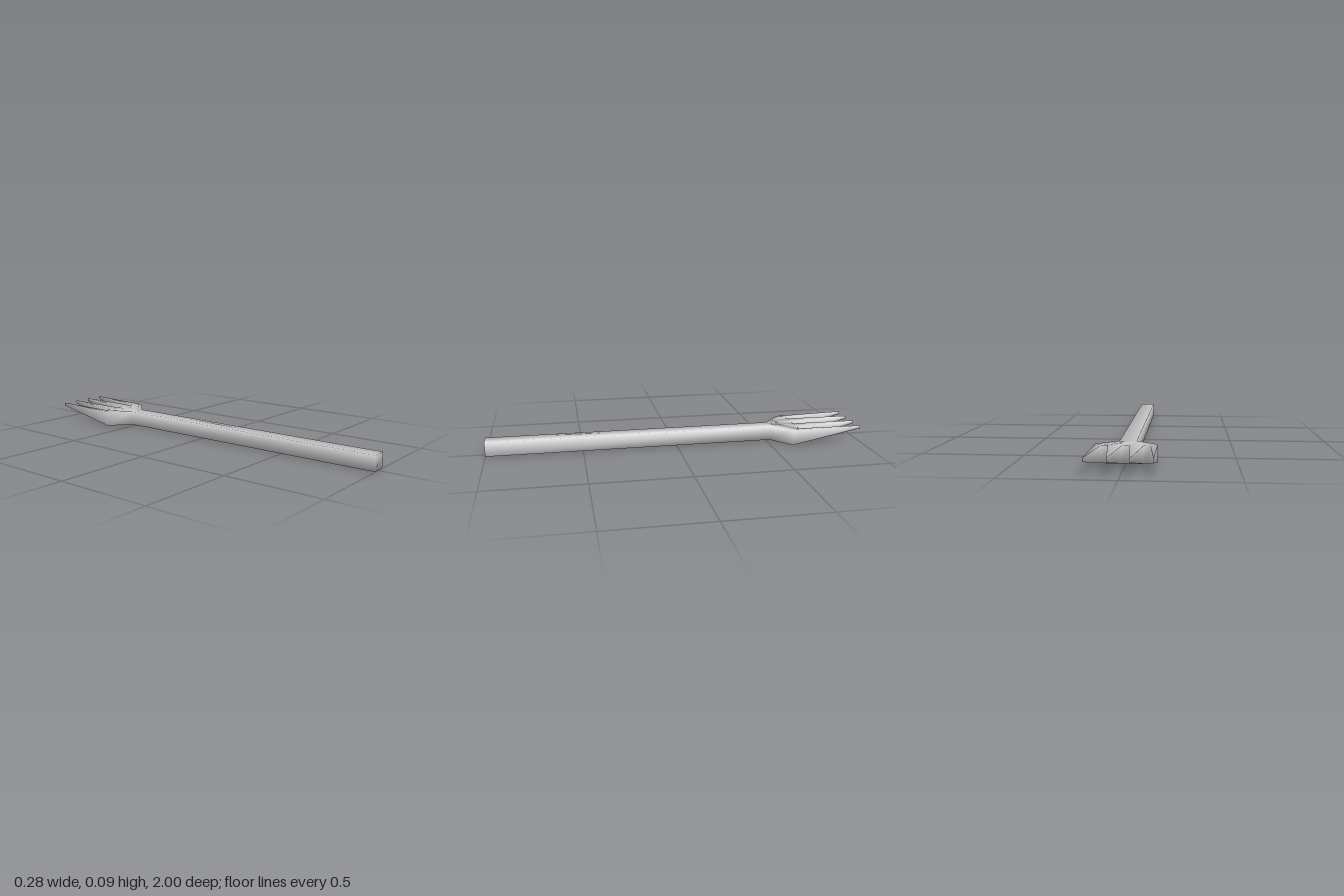
import * as THREE from 'three';

// Plan outline of the +x half: [x, z, bottom y, top y], from the handle end round to the middle gap
const half = [
  [0.04, 1, 0.003, 0.08],       // handle end
  [0.04, -0.52, 0.003, 0.08],   // neck
  [0.142, -0.62, 0, 0.082],     // shoulder
  [0.142, -1, 0.073, 0.09],     // outer tine tip
  [0.11, -0.66, 0, 0.082],      // outer gap
  [0.08, -0.66, 0, 0.082],
  [0.047, -1, 0.073, 0.09],     // inner tine tip
  [0.016, -0.66, 0, 0.082],     // middle gap
];
const outline = [...half, ...half.map(([x, ...rest]) => [-x, ...rest]).reverse()];
const n = outline.length;

// Each part is a loop of outline points, anticlockwise seen from above
const parts = {
  handle: [15, 0, 1, 14],
  head: [14, 1, 2, 4, 5, 7, 8, 10, 11, 13],
  outerTineLeft: [2, 3, 4],
  innerTineLeft: [5, 6, 7],
  innerTineRight: [8, 9, 10],
  outerTineRight: [11, 12, 13],
};

const edgesOf = (loop) => loop.map((a, i) => [a, loop[(i + 1) % loop.length]]);
const allEdges = new Set(Object.values(parts).flatMap(edgesOf).map(String));

// Top and bottom caps, plus walls on edges not shared with another part
function partFaces(loop) {
  const index = [];
  for (let i = 1; i < loop.length - 1; i++) {
    const [a, b, c] = [loop[0], loop[i], loop[i + 1]];
    index.push(a + n, b + n, c + n, a, c, b);
  }
  for (const [a, b] of edgesOf(loop)) {
    if (!allEdges.has(`${b},${a}`)) index.push(a, b, b + n, a, b + n, a + n);
  }
  return index;
}

export function createModel() {
  const group = new THREE.Group();
  group.name = 'fork';
  const material = new THREE.MeshStandardMaterial({ color: 0xcccccc });

  // Whole surface first, so that smooth normals run across the joints
  const whole = new THREE.BufferGeometry();
  const bottom = outline.flatMap(([x, z, y]) => [x, y, z]);
  const top = outline.flatMap(([x, z, , y]) => [x, y, z]);
  whole.setAttribute('position', new THREE.Float32BufferAttribute([...bottom, ...top], 3));
  whole.setIndex(Object.values(parts).flatMap(partFaces));
  whole.computeVertexNormals();

  // Split into named parts
  for (const [name, loop] of Object.entries(parts)) {
    const geometry = whole.clone();
    geometry.setIndex(partFaces(loop));
    const mesh = new THREE.Mesh(geometry.toNonIndexed(), material);
    mesh.name = name;
    group.add(mesh);
  }
  return group;
}
